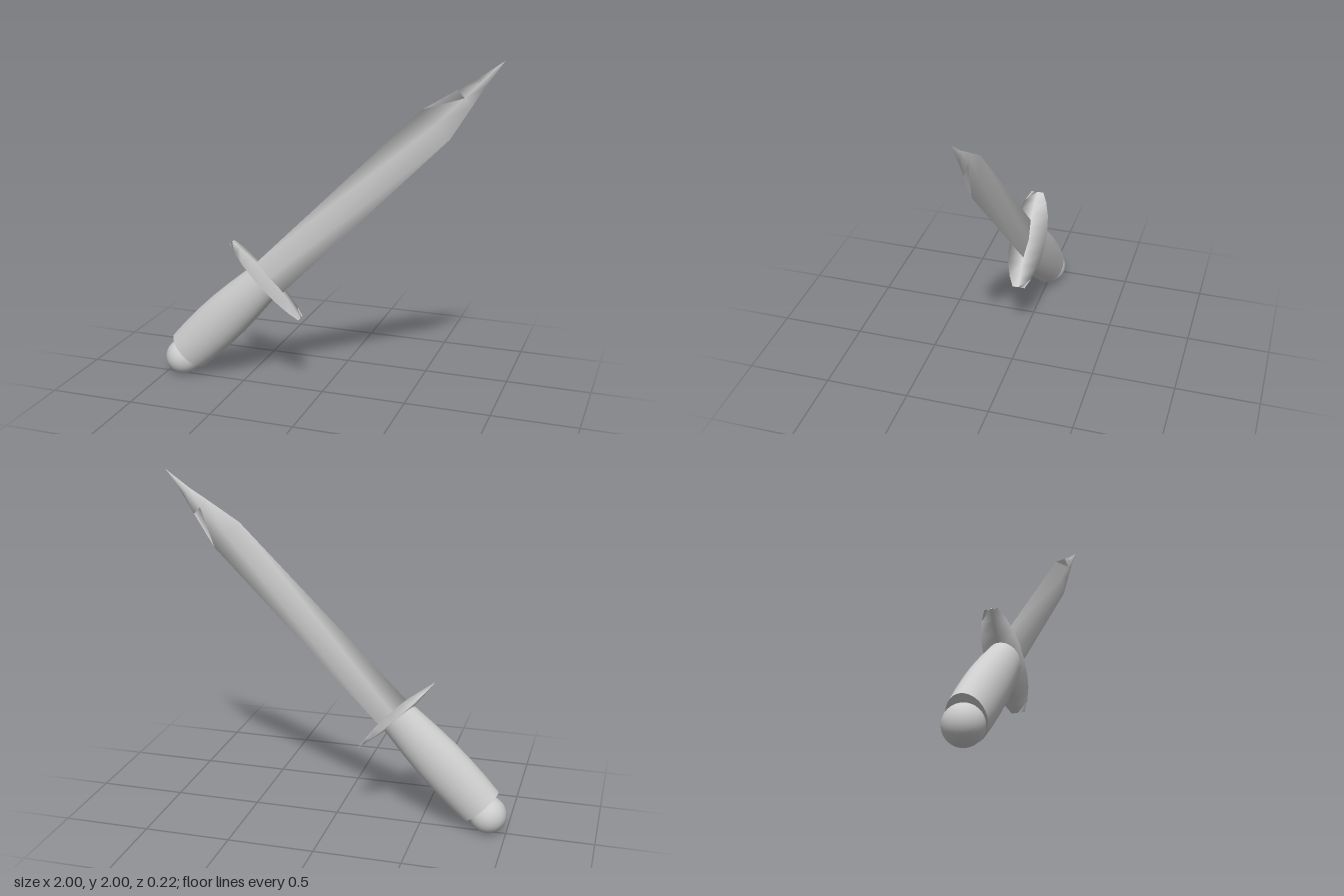
import * as THREE from 'three';

// Smooth loft along y through [y, halfX, halfZ] sections; optional flat end caps.
function loft(sections, sides, capped = false) {
  const pos = [], idx = [];
  const ring = ([y, a, b]) => {
    for (let i = 0; i < sides; i++) {
      const t = (i / sides) * Math.PI * 2;
      pos.push(a * Math.cos(t), y, b * Math.sin(t));
    }
  };
  sections.forEach(ring);
  for (let j = 0; j < sections.length - 1; j++) {
    for (let i = 0; i < sides; i++) {
      const a = j * sides + i, b = j * sides + (i + 1) % sides;
      const c = a + sides, d = b + sides;
      idx.push(a, c, b, b, c, d);
    }
  }
  if (capped) {
    [sections[0], sections[sections.length - 1]].forEach((s, end) => {
      const start = pos.length / 3;
      ring(s);
      const centre = pos.length / 3;
      pos.push(0, s[0], 0);
      for (let i = 0; i < sides; i++) {
        const p = start + i, q = start + (i + 1) % sides;
        if (end) idx.push(centre, q, p);
        else idx.push(centre, p, q);
      }
    });
  }
  const g = new THREE.BufferGeometry();
  g.setAttribute('position', new THREE.Float32BufferAttribute(pos, 3));
  g.setIndex(idx);
  g.computeVertexNormals();
  return g;
}

export function createModel() {
  const model = new THREE.Group();
  model.name = 'dagger';
  const steel = new THREE.MeshStandardMaterial({ color: 0xcccccc });
  steel.name = 'grey';

  // Everything is built upright, then tilted 45 degrees.
  const upright = new THREE.Group();
  upright.name = 'tiltedDagger';
  upright.position.y = 1;
  upright.rotation.z = -Math.PI / 4;
  model.add(upright);

  const add = (name, geometry, x = 0, y = 0) => {
    const mesh = new THREE.Mesh(geometry, steel);
    mesh.name = name;
    mesh.position.set(x, y, 0);
    upright.add(mesh);
    return mesh;
  };

  // Diamond-section blade narrowing to a slightly hollow point
  add('blade', loft([
    [-0.5, 0.117, 0.012], [0.91, 0.109, 0.012], [1.125, 0.059, 0.012],
    [1.245, 0.029, 0.011], [1.414, 0.0005, 0.0005],
  ], 4));

  // Lens-shaped crossguard with knife-edged ends
  const half = [[0.3, 0.003, 0.037], [0.24, 0.012, 0.067], [0.16, 0.023, 0.093], [0.08, 0.032, 0.105]];
  const guard = add('crossguard', loft([
    ...half.map(([t, a, b]) => [-t, a, b]),
    [0, 0.035, 0.108],
    ...half.slice().reverse(),
  ], 4, true), -0.004, -0.486);
  guard.rotation.z = Math.PI / 2;

  // Oval grip swelling in the middle
  add('grip', loft([
    [-1.2, 0.133, 0.104], [-1.08, 0.141, 0.107], [-0.95, 0.144, 0.108],
    [-0.82, 0.141, 0.107], [-0.68, 0.131, 0.102], [-0.49, 0.112, 0.088],
  ], 32, true), -0.008);

  // Round pommel
  add('pommel', new THREE.SphereGeometry(0.107, 32, 20), -0.003, -1.261);

  return model;
}
